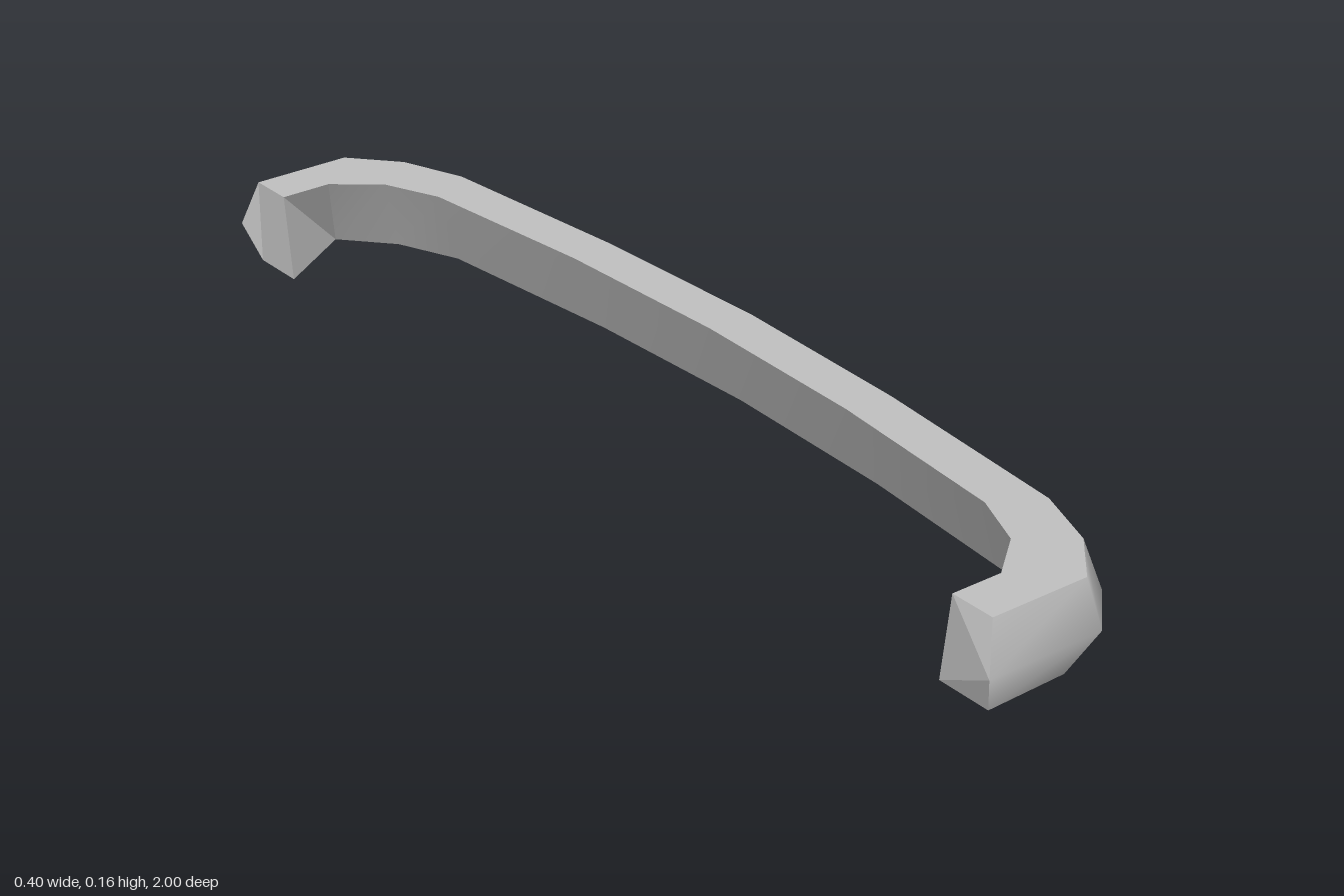
import * as THREE from 'three';

// Half profiles of each long edge as [x, z], from the front tip to the middle
const TOP = 0.155, MID = 0.072;
const edges = {
  innerTop: { y: TOP, pts: [[-0.175, 0.89], [-0.08, 0.89], [0, 0.825], [0.045, 0.72], [0.08, 0.36], [0.092, 0]] },
  outerTop: { y: TOP, pts: [[-0.175, 0.975], [0.01, 0.975], [0.085, 0.89], [0.13, 0.77], [0.166, 0.37], [0.18, 0]] },
  outerMid: { y: MID, pts: [[-0.2, 1], [0.022, 1], [0.105, 0.915], [0.15, 0.785], [0.187, 0.38], [0.2, 0]] },
  bottom: { y: 0, pts: [[-0.175, 0.975], [-0.02, 0.97], [0.06, 0.88], [0.11, 0.76], [0.147, 0.365], [0.16, 0]] },
};

// Mirror a half profile into a full run from +z to -z
function rail({ y, pts }) {
  const half = pts.map(([x, z]) => new THREE.Vector3(x, y, z));
  const back = half.slice(0, -1).reverse().map((p) => new THREE.Vector3(p.x, p.y, -p.z));
  return [...half, ...back];
}

// Smooth surface spanning neighbouring rails
function strip(rails) {
  const n = rails[0].length, index = [];
  for (let r = 0; r < rails.length - 1; r++) {
    for (let i = 0; i < n - 1; i++) {
      const a = r * n + i, b = a + n;
      index.push(a, b, a + 1, b, b + 1, a + 1);
    }
  }
  const geo = new THREE.BufferGeometry().setFromPoints(rails.flat());
  geo.setIndex(index);
  geo.computeVertexNormals();
  return geo;
}

// Flat polygon as a triangle fan
function fan(points) {
  const tris = [];
  for (let i = 1; i < points.length - 1; i++) tris.push(points[0], points[i], points[i + 1]);
  const geo = new THREE.BufferGeometry().setFromPoints(tris);
  geo.computeVertexNormals();
  return geo;
}

export function createModel() {
  const group = new THREE.Group();
  group.name = 'pullHandle';
  const grey = new THREE.MeshStandardMaterial({ color: 0xbfbfbf });
  grey.name = 'grey';
  const add = (name, geo) => {
    const mesh = new THREE.Mesh(geo, grey);
    mesh.name = name;
    group.add(mesh);
  };

  const innerTop = rail(edges.innerTop), outerTop = rail(edges.outerTop);
  const outerMid = rail(edges.outerMid), bottom = rail(edges.bottom);
  const last = bottom.length - 1;

  // Grip: rounded outside, flat top, sloping inside
  add('outerSurface', strip([outerTop, outerMid, bottom]));
  add('topSurface', strip([innerTop, outerTop]));
  add('innerSurface', strip([bottom.slice(1, last), innerTop.slice(1, last)]));

  // Feet: wider tips with a pentagonal end and a triangular underside
  for (const s of [1, -1]) {
    const end = s > 0 ? 0 : last, bend = end + s;
    const heel = new THREE.Vector3(-0.175, 0, 0.87 * s);
    const face = (name, pts) => add(name, fan(s > 0 ? pts : pts.reverse()));
    const side = s > 0 ? 'front' : 'back';
    face(side + 'FootEnd', [outerMid[end], outerTop[end], innerTop[end], heel, bottom[end]]);
    face(side + 'FootUnderside', [bottom[end], heel, bottom[bend]]);
    face(side + 'FootInside', [heel, innerTop[end], innerTop[bend], bottom[bend]]);
  }
  return group;
}
